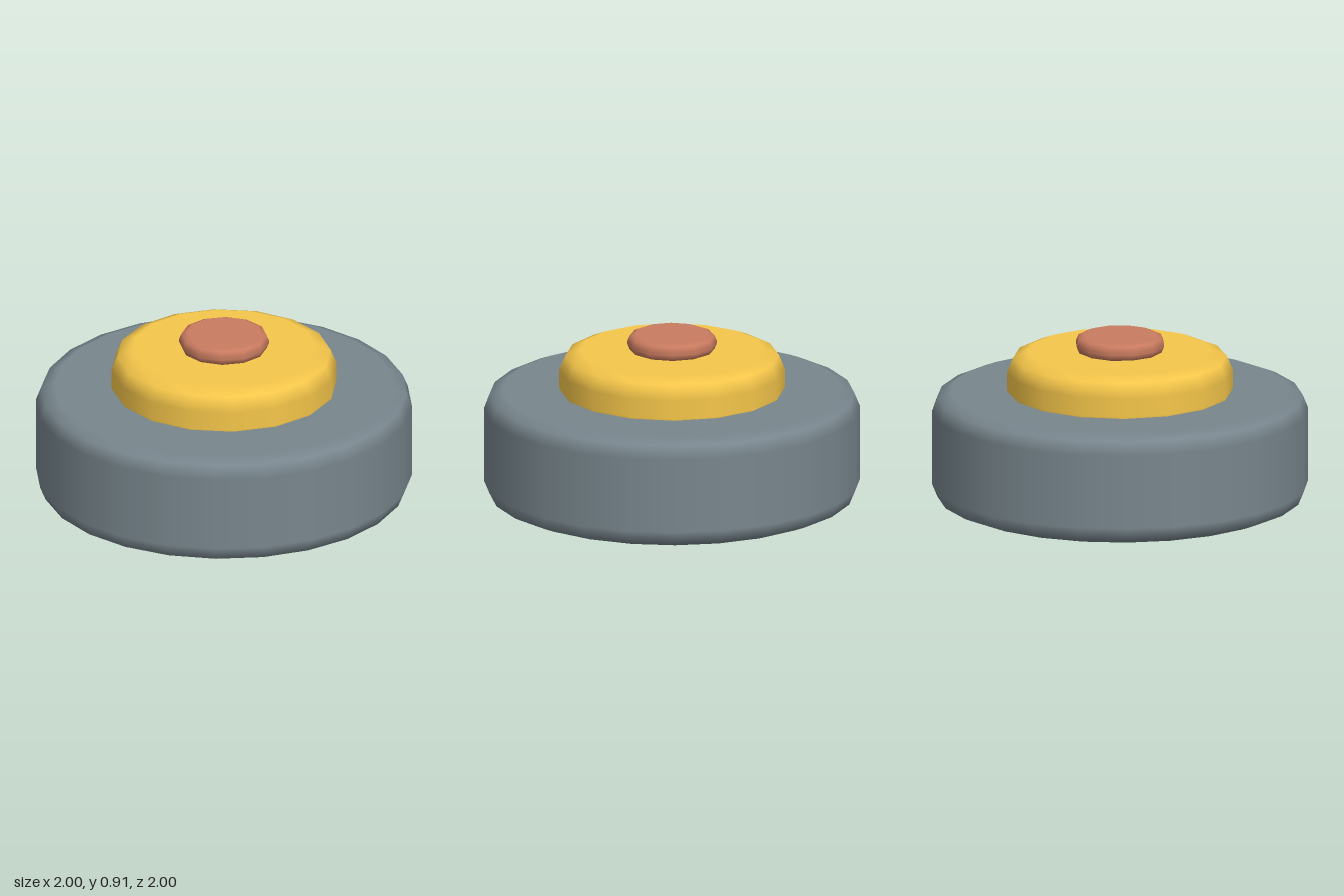
import * as THREE from 'three';

// Disc with rounded rims: y0 to y1, given radius, rim rounding and side count
function roundedDisc(name, color, radius, y0, y1, bevel, sides) {
  const points = [new THREE.Vector2(0, y0)];
  const normals = [[0, -1]];
  const arc = (cy, from) => {
    for (let k = 0; k <= 2; k++) {
      const a = from + k * Math.PI / 4;
      const c = Math.cos(a), s = Math.sin(a);
      points.push(new THREE.Vector2(radius - bevel + bevel * c, cy + bevel * s));
      normals.push([c, s]);
    }
  };
  arc(y0 + bevel, -Math.PI / 2);
  arc(y1 - bevel, 0);
  points.push(new THREE.Vector2(0, y1));
  normals.push([0, 1]);

  const geometry = new THREE.LatheGeometry(points, sides);
  // Normals follow the rounding, so caps and wall stay even
  const n = geometry.attributes.normal;
  for (let i = 0; i < n.count; i++) {
    const [out, up] = normals[i % points.length];
    const phi = Math.floor(i / points.length) * Math.PI * 2 / sides;
    n.setXYZ(i, out * Math.sin(phi), up, out * Math.cos(phi));
  }
  const mesh = new THREE.Mesh(geometry, new THREE.MeshStandardMaterial({ color }));
  mesh.name = name;
  return mesh;
}

export function createModel() {
  const group = new THREE.Group();
  group.name = 'steppedButton';
  group.add(
    roundedDisc('base', 0x78868d, 1, 0, 0.6, 0.1, 24),
    roundedDisc('middleDisc', 0xf5c64a, 0.6, 0.5, 0.82, 0.11, 16),
    roundedDisc('topButton', 0xc97b5f, 0.24, 0.81, 0.91, 0.045, 12)
  );
  return group;
}
